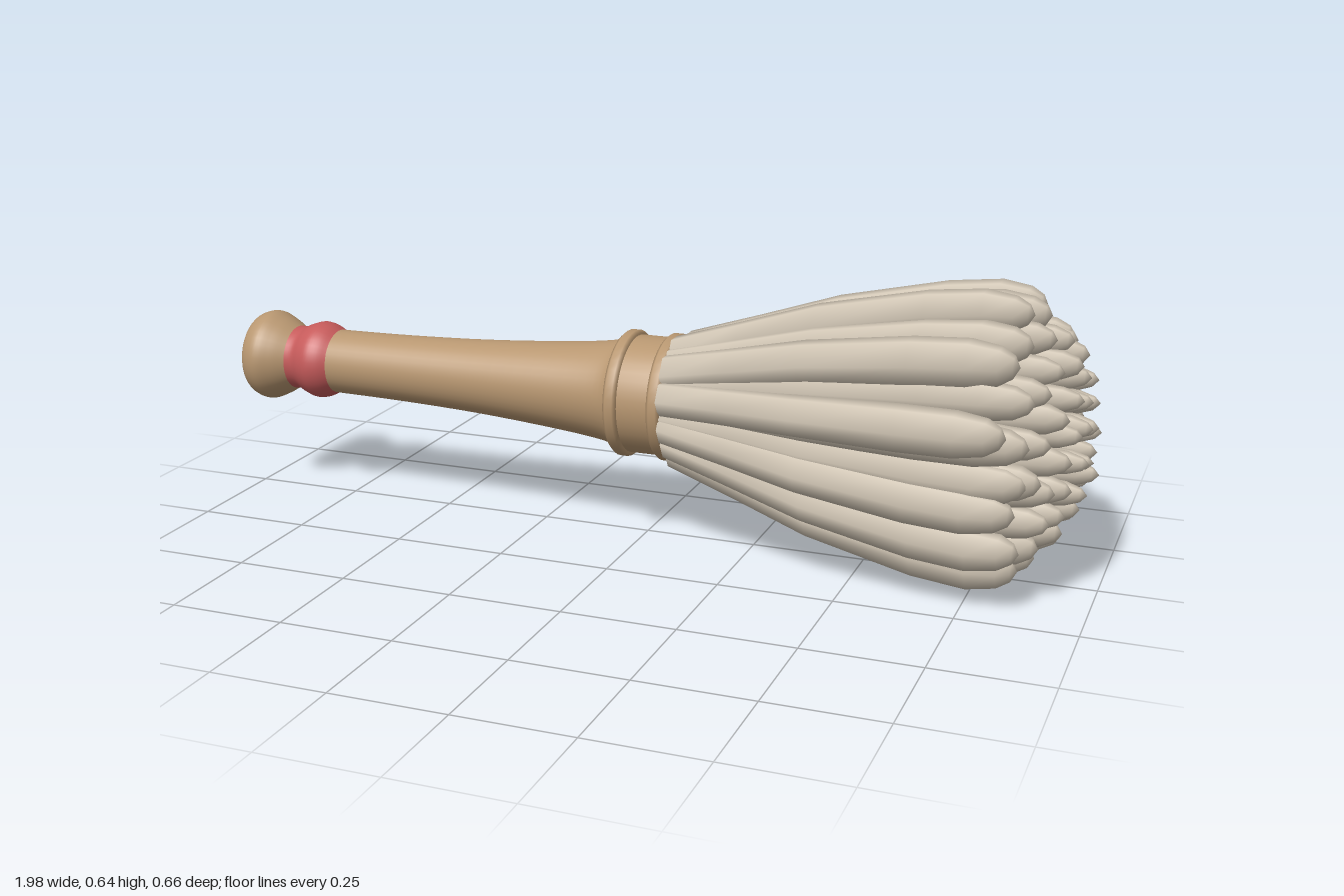
import * as THREE from 'three';
import { mergeGeometries } from 'three/addons/utils/BufferGeometryUtils.js';

const AXIS_Y = 0.325;
const RIM = 0.29;

// Seeded random numbers
function makeRandom(seed) {
  return () => {
    seed = (seed * 16807) % 2147483647;
    return seed / 2147483647;
  };
}

// Solid of revolution along x, from [x, radius] pairs
function turned(name, profile, material, parent) {
  const points = profile.map(([x, r]) => new THREE.Vector2(r, x));
  const geometry = new THREE.LatheGeometry(points, 40).rotateZ(-Math.PI / 2);
  const mesh = new THREE.Mesh(geometry, material);
  mesh.name = name;
  parent.add(mesh);
}

// Smoothly curved [x, radius] profile
function smooth(profile, steps) {
  const curve = new THREE.SplineCurve(profile.map(([x, r]) => new THREE.Vector2(x, r)));
  return curve.getPoints(steps).map((p) => [p.x, Math.max(p.y, 0)]);
}

// Six-sided strand: [length fraction, thickness, spread from the axis]
const SECTIONS = [
  [0, 0.8, 0.4], [0.2, 0.83, 0.58], [0.42, 0.9, 0.78], [0.72, 1, 0.95],
  [0.87, 0.98, 1], [0.95, 0.78, 1], [0.985, 0.45, 1],
];

function strandGeometry(tipZ, tipY, thickness, tipX) {
  const startX = 0.072, sides = 6, positions = [], index = [];
  for (const [t, w, s] of SECTIONS) {
    for (let j = 0; j < sides; j++) {
      const a = Math.PI / 6 + (j * Math.PI * 2) / sides;
      positions.push(
        startX + (tipX - startX) * t,
        tipY * s + Math.cos(a) * w * thickness,
        tipZ * s + Math.sin(a) * w * thickness
      );
    }
  }
  positions.push(tipX, tipY, tipZ);
  const tip = SECTIONS.length * sides;
  for (let i = 0; i < SECTIONS.length; i++) {
    for (let j = 0; j < sides; j++) {
      const a = i * sides + j, b = i * sides + ((j + 1) % sides);
      if (i === SECTIONS.length - 1) index.push(a, b, tip);
      else index.push(a, b, a + sides, b, b + sides, a + sides);
    }
  }
  const geometry = new THREE.BufferGeometry();
  geometry.setAttribute('position', new THREE.Float32BufferAttribute(positions, 3));
  geometry.setIndex(index);
  geometry.computeVertexNormals();
  return geometry;
}

// Tips of the uneven outer strands: [z, height]
const OUTER_TIPS = [
  [0.08, 0.6], [-0.01, 0.58], [-0.155, 0.565], [0.14, 0.55], [0.21, 0.525], [-0.14, 0.51],
  [0.215, 0.455], [0.28, 0.4], [0.25, 0.375], [0.245, 0.295], [0.265, 0.24], [0.205, 0.14],
  [0.12, 0.07], [0.045, 0.075], [-0.05, 0.045], [-0.165, 0.06], [-0.195, 0.13], [-0.255, 0.2],
  [-0.245, 0.255], [-0.28, 0.34], [-0.25, 0.39], [-0.255, 0.45],
];

export function createModel() {
  const model = new THREE.Group();
  model.name = 'duster';
  const wood = new THREE.MeshStandardMaterial({ color: 0xb89771 });
  wood.name = 'wood';
  const red = new THREE.MeshStandardMaterial({ color: 0xc65b5b });
  red.name = 'red band';
  const fibre = new THREE.MeshStandardMaterial({ color: 0xd0c5b4 });
  fibre.name = 'pale fibre';

  const body = new THREE.Group();
  body.position.y = AXIS_Y;
  model.add(body);

  // Handle: pommel, painted ring, tapered grip
  turned('pommel', smooth([
    [-1, 0], [-0.998, 0.06], [-0.985, 0.092], [-0.95, 0.105], [-0.915, 0.092], [-0.885, 0.074],
  ], 24), wood, body);
  turned('paintedRing', smooth([
    [-0.885, 0.074], [-0.865, 0.074], [-0.845, 0.083], [-0.82, 0.09], [-0.795, 0.085], [-0.775, 0.074],
  ], 20), red, body);
  turned('grip', smooth([
    [-0.775, 0.074], [-0.6, 0.077], [-0.4, 0.085], [-0.2, 0.1], [-0.09, 0.113], [-0.055, 0.124],
  ], 20), wood, body);

  // Collar with two raised beads
  turned('collar', [[-0.055, 0.124], [-0.04, 0.131], [0.07, 0.131]], wood, body);
  for (const [name, x] of [['rearBead', -0.04], ['frontBead', 0.06]]) {
    turned(name, [
      [x - 0.015, 0.12], [x - 0.015, 0.135], [x - 0.008, 0.141],
      [x + 0.008, 0.141], [x + 0.015, 0.135], [x + 0.015, 0.12],
    ], wood, body);
  }

  // Flared core that carries the strands
  turned('core', [[0.065, 0.125], [0.35, 0.165], [0.64, 0.2]], wood, body);
  turned('coreEnd', [[0.64, 0.2], [0.72, 0.15], [0.76, 0.08], [0.77, 0]], wood, body);

  // Strands, thicker and shorter toward the rim
  const random = makeRandom(41);
  const strands = [];
  const addStrand = (z, y) => {
    const k = Math.min(Math.hypot(z, y) / RIM, 1);
    const thickness = 0.031 + 0.02 * k * k + (random() - 0.5) * 0.005;
    const tipX = 1 - 0.145 * k * k - random() * 0.02;
    strands.push(strandGeometry(z, y, thickness, tipX));
  };
  for (const [z, y] of OUTER_TIPS) addStrand(z, y - AXIS_Y);

  // Inner strands spread in a spiral
  const innerCount = 44;
  for (let i = 0; i < innerCount; i++) {
    const angle = i * 2.39996 + (random() - 0.5) * 0.14;
    const spread = 0.232 * Math.sqrt((i + 0.8) / innerCount);
    addStrand(Math.sin(angle) * spread, Math.cos(angle) * spread);
  }
  const head = new THREE.Mesh(mergeGeometries(strands), fibre);
  head.name = 'strands';
  body.add(head);

  return model;
}
